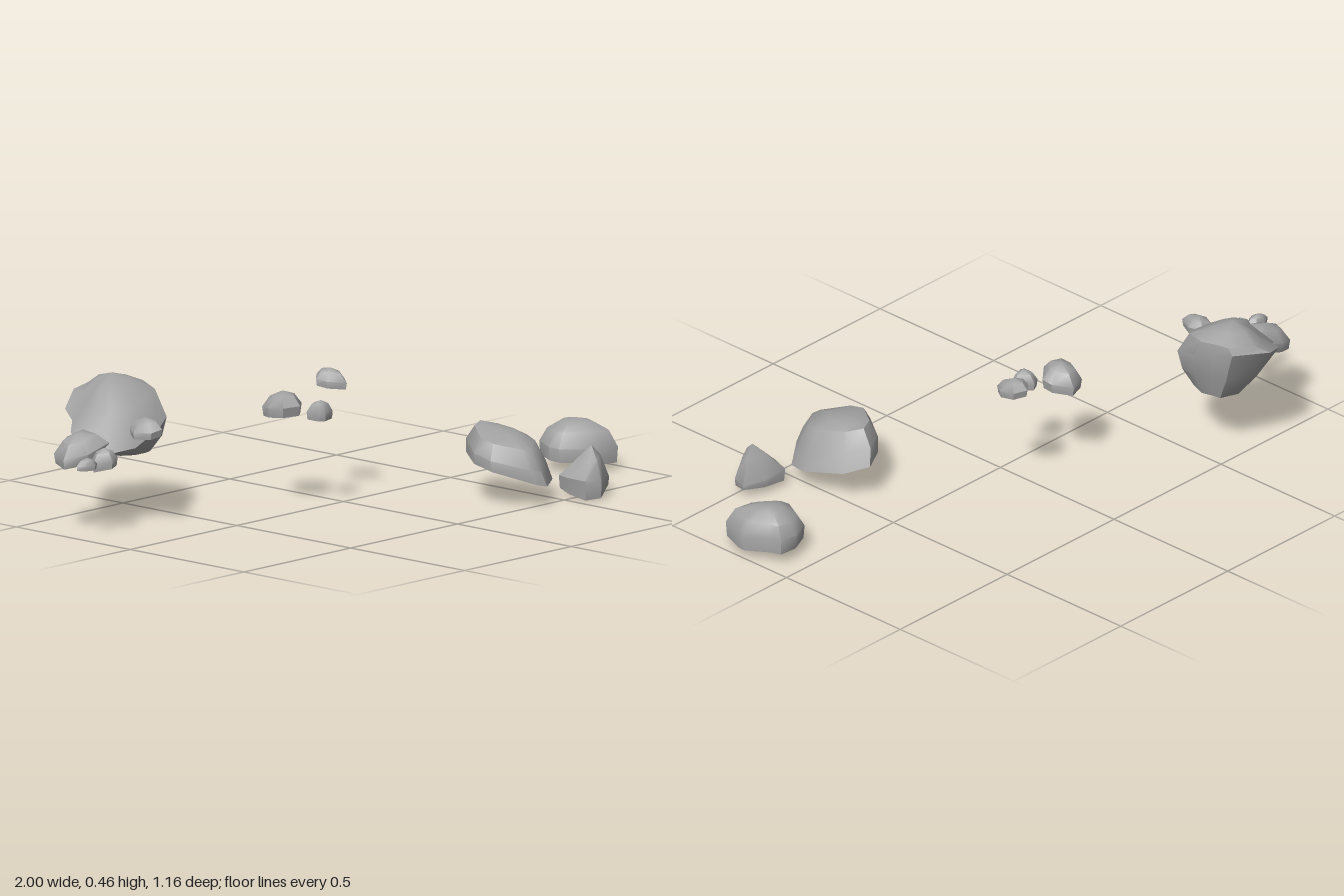
import * as THREE from 'three';
import { toCreasedNormals } from 'three/addons/utils/BufferGeometryUtils.js';

const stone = new THREE.MeshStandardMaterial({ color: 0xa3a3a3, side: THREE.DoubleSide });
stone.name = 'stoneGrey';

// A rock is its plan outline [x, z], clockwise from above, repeated at levels from the bottom up.
// Level: [height, scale, shift x, shift z, slope along x, slope along z]; scale 0 closes it.
function rock(name, outline, levels) {
  const n = outline.length;
  const cx = outline.reduce((s, p) => s + p[0], 0) / n;
  const cz = outline.reduce((s, p) => s + p[1], 0) / n;
  const pos = [], index = [];
  for (const [y, s, dx = 0, dz = 0, tx = 0, tz = 0] of levels) {
    for (const [px, pz] of outline) {
      const x = (px - cx) * s, z = (pz - cz) * s;
      pos.push(cx + dx + x, y + x * tx + z * tz, cz + dz + z);
    }
  }
  for (let i = 0; i + 1 < levels.length; i++) {
    for (let j = 0; j < n; j++) {
      const k = (j + 1) % n, a = i * n, b = a + n;
      if (levels[i][1] > 0) index.push(a + k, a + j, b + j);
      if (levels[i + 1][1] > 0) index.push(a + k, b + j, b + k);
    }
  }
  const geometry = new THREE.BufferGeometry();
  geometry.setAttribute('position', new THREE.Float32BufferAttribute(pos, 3));
  geometry.setIndex(index);
  const mesh = new THREE.Mesh(toCreasedNormals(geometry, 0.75), stone);
  mesh.name = name;
  return mesh;
}

// Hollow-bottomed levels shared by the smaller stones
const stoneLevels = (low, high, tx = 0, tz = 0) => {
  const h = high - low;
  return [
    [low + h * 0.1, 0.93, 0, 0, tx, tz],
    [low + h * 0.45, 1, 0, 0, tx, tz],
    [low + h * 0.83, 0.62, 0, 0, tx, tz],
    [high, 0],
  ];
};

export function createModel() {
  const group = new THREE.Group();
  group.name = 'scatteredRocks';

  // Large boulder with closed underside and its low shoulder
  group.add(rock('boulder',
    [[-0.86, -0.34], [-0.82, -0.43], [-0.77, -0.47], [-0.74, -0.53], [-0.64, -0.585], [-0.52, -0.53],
      [-0.51, -0.46], [-0.49, -0.39], [-0.53, -0.28], [-0.6, -0.25], [-0.73, -0.23], [-0.83, -0.27]],
    [[0.195, 0, 0.05, 0], [0.212, 0.48, 0.05, 0.01, -0.05, 0], [0.265, 0.8, 0.02, 0.01, 0.1, -0.15],
      [0.325, 1, 0, 0, 0.25, -0.3], [0.395, 0.72, 0.04, -0.02, 0.2, -0.08],
      [0.438, 0.36, 0.05, -0.04, 0.1, -0.05], [0.46, 0, 0.05, -0.045]]));
  group.add(rock('boulderShoulder',
    [[-0.96, -0.33], [-0.93, -0.4], [-0.88, -0.415], [-0.78, -0.4], [-0.8, -0.28], [-0.9, -0.28]],
    stoneLevels(0.22, 0.315, 0.25)));

  // Pebbles around the boulder
  group.add(rock('pebbleOuter',
    [[-1, -0.235], [-0.97, -0.25], [-0.935, -0.245], [-0.92, -0.22], [-0.95, -0.2], [-0.985, -0.21]],
    stoneLevels(0.222, 0.265)));
  group.add(rock('pebbleInner',
    [[-0.93, -0.23], [-0.89, -0.27], [-0.86, -0.25], [-0.845, -0.2], [-0.88, -0.19]],
    stoneLevels(0.213, 0.285, 0.2)));
  group.add(rock('pebbleFront',
    [[-0.75, -0.22], [-0.72, -0.265], [-0.67, -0.26], [-0.655, -0.21], [-0.69, -0.15], [-0.73, -0.16]],
    stoneLevels(0.295, 0.36, 0.2)));

  // Three small stones in the middle
  group.add(rock('middleStone',
    [[-0.215, -0.13], [-0.19, -0.18], [-0.13, -0.2], [-0.09, -0.14], [-0.09, -0.1], [-0.15, -0.05], [-0.21, -0.07]],
    stoneLevels(0.285, 0.375, 0, 0.1)));
  group.add(rock('middleChip',
    [[-0.11, -0.06], [-0.08, -0.075], [-0.03, -0.03], [-0.04, -0.01], [-0.09, 0.005], [-0.11, -0.005]],
    stoneLevels(0.275, 0.345)));
  group.add(rock('middlePebble',
    [[0.03, -0.15], [0.07, -0.185], [0.115, -0.165], [0.12, -0.11], [0.09, -0.07], [0.04, -0.11]],
    stoneLevels(0.348, 0.413, 0, -0.15)));

  // Three larger stones at the low end
  group.add(rock('wideRock',
    [[0.45, 0.15], [0.51, 0.21], [0.54, 0.36], [0.52, 0.43], [0.4, 0.52], [0.36, 0.51],
      [0.27, 0.4], [0.27, 0.32], [0.37, 0.19]],
    [[0.1, 1, 0, 0, -0.2, -0.2], [0.152, 0.92, -0.015, 0, -0.1, -0.22],
      [0.208, 0.7, -0.02, 0, -0.05, -0.22], [0.226, 0.4, -0.02, -0.02, 0, -0.15], [0.234, 0, -0.02, -0.03]]));
  group.add(rock('pointedRock',
    [[0.56, 0.42], [0.65, 0.425], [0.715, 0.46], [0.7, 0.51], [0.59, 0.58], [0.535, 0.56], [0.54, 0.48]],
    [[0.02, 0.96, 0, 0, 0.1, -0.12], [0.06, 1, 0, 0, -0.1, 0],
      [0.12, 0.5, 0.01, 0.005, 0.15, 0], [0.163, 0, 0.025, 0]]));
  group.add(rock('roundedRock',
    [[0.89, 0.06], [0.95, 0.07], [0.96, 0.11], [1, 0.19], [0.995, 0.22], [0.96, 0.305],
      [0.88, 0.29], [0.785, 0.21], [0.78, 0.17], [0.82, 0.09]],
    [[0.036, 0.97, 0, 0, -0.04, -0.06], [0.085, 1, 0, 0, 0, -0.05], [0.132, 0.78],
      [0.156, 0.42], [0.165, 0]]));

  return group;
}
